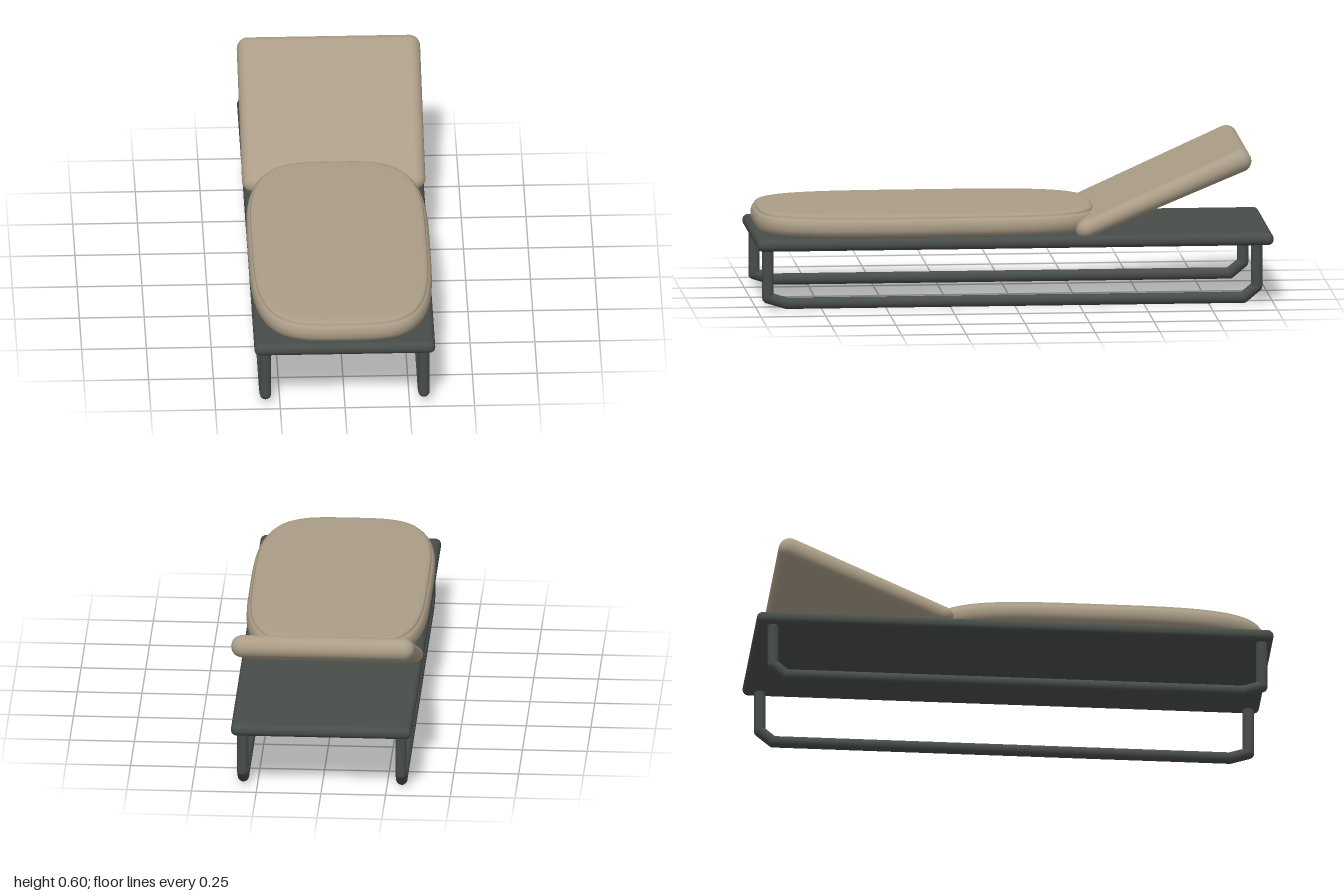
import * as THREE from 'three';
import { RoundedBoxGeometry } from 'three/addons/geometries/RoundedBoxGeometry.js';

const fabric = new THREE.MeshStandardMaterial({ color: 0xab9d87 });
fabric.name = 'beige fabric';
const metal = new THREE.MeshStandardMaterial({ color: 0x474d49 });
metal.name = 'dark grey metal';

function part(parent, name, geometry, material) {
  const mesh = new THREE.Mesh(geometry, material);
  mesh.name = name;
  parent.add(mesh);
  return mesh;
}

// Soft cushion: superellipse rings stacked along a profile of [inset, y]
function cushionGeometry(halfX, halfZ, profile, power = 3.7, segments = 96) {
  const positions = [], index = [];
  const curve = (v) => Math.sign(v) * Math.abs(v) ** (2 / power);
  for (const [inset, y] of profile) {
    const closed = inset >= halfX;
    const rx = closed ? 0 : halfX - inset, rz = closed ? 0 : halfZ - inset;
    for (let i = 0; i < segments; i++) {
      const a = (i / segments) * Math.PI * 2;
      positions.push(rx * curve(Math.cos(a)), y, rz * curve(Math.sin(a)));
    }
  }
  for (let r = 0; r < profile.length - 1; r++) {
    for (let i = 0; i < segments; i++) {
      const a = r * segments + i, b = r * segments + ((i + 1) % segments);
      const c = a + segments, d = b + segments;
      index.push(a, c, b, b, c, d);
    }
  }
  const geometry = new THREE.BufferGeometry();
  geometry.setAttribute('position', new THREE.Float32BufferAttribute(positions, 3));
  geometry.setIndex(index);
  geometry.computeVertexNormals();
  return geometry;
}

// Round bar through a list of points, with ball joints at the bends
function bentBar(parent, name, points, radius) {
  const group = new THREE.Group();
  group.name = name;
  const up = new THREE.Vector3(0, 1, 0);
  points.forEach((p, i) => {
    if (i === 0) return;
    const direction = p.clone().sub(points[i - 1]);
    const bar = part(group, 'legBar', new THREE.CylinderGeometry(radius, radius, direction.length(), 16, 1, true), metal);
    bar.position.copy(p).add(points[i - 1]).multiplyScalar(0.5);
    bar.quaternion.setFromUnitVectors(up, direction.normalize());
    if (i < points.length - 1) {
      part(group, 'legBend', new THREE.SphereGeometry(radius, 16, 12), metal).position.copy(p);
    }
  });
  parent.add(group);
}

export function createModel() {
  const lounger = new THREE.Group();
  lounger.name = 'sunLounger';

  // Flat platform
  part(lounger, 'platform', new RoundedBoxGeometry(0.698, 0.047, 2, 5, 0.022), metal).position.y = 0.2515;

  // Bent runner legs
  for (const side of [1, -1]) {
    const path = [[0.25, 0.957], [0.045, 0.957], [0.0225, 0.885], [0.0225, -0.885], [0.065, -0.936], [0.25, -0.936]];
    bentBar(lounger, side > 0 ? 'leftLegFrame' : 'rightLegFrame',
      path.map(([y, z]) => new THREE.Vector3(side * 0.306, y, z)), 0.0222);
  }

  // Seat cushion with a seam groove near the top
  const profile = [
    [1, 0.274], [0.06, 0.274], [0.03, 0.277], [0.01, 0.286], [0, 0.303], [0, 0.325],
    [0.005, 0.341], [0.012, 0.348], [0.017, 0.349], [0.014, 0.354], [0.02, 0.36],
    [0.035, 0.364], [0.07, 0.366], [0.18, 0.369], [1, 0.37],
  ];
  part(lounger, 'seatCushion', cushionGeometry(0.352, 0.663, profile), fabric).position.z = 0.328;

  // Reclined backrest, thinner towards the seat
  const length = 0.733;
  const backGeometry = new RoundedBoxGeometry(0.708, 0.088, length, 6, 0.0435);
  const pos = backGeometry.attributes.position;
  for (let i = 0; i < pos.count; i++) {
    const t = pos.getZ(i) / length + 0.5;
    pos.setY(i, pos.getY(i) * (1 - 0.28 * t));
  }
  const backrest = part(lounger, 'backrest', backGeometry, fabric);
  backrest.position.set(0, 0.427, -0.575);
  backrest.rotation.x = 0.409;

  return lounger;
}
